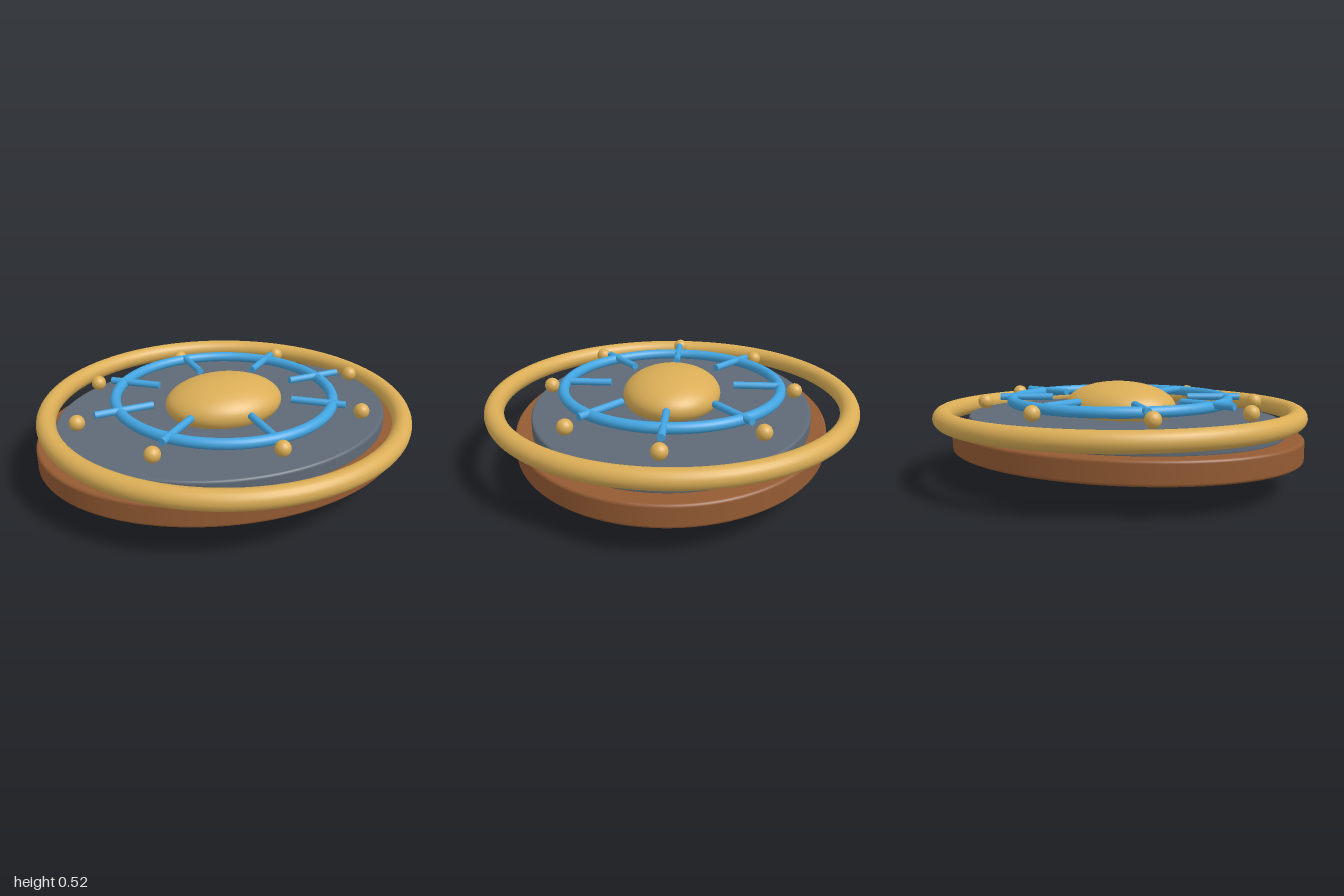
import * as THREE from 'three';
import { RoundedBoxGeometry } from 'three/addons/geometries/RoundedBoxGeometry.js';

const OVAL = 0.82; // depth to width ratio of the oval parts

const paint = (color) => new THREE.MeshStandardMaterial({ color });
const gold = paint(0xdaad56);
const wood = paint(0x945b33);
const slate = paint(0x5f6a76);
const blue = paint(0x42a4e0);
const leather = paint(0x4a2c26);

export function createModel() {
  const model = new THREE.Group();

  const add = (name, geometry, material, x, y, z) => {
    const mesh = new THREE.Mesh(geometry, material);
    mesh.name = name;
    mesh.position.set(x, y, z);
    model.add(mesh);
  };

  // Oval disc with rounded edges; profile runs from bottom centre to top centre
  const disc = (name, radius, bottom, top, round, material) => {
    const inner = radius - round;
    const profile = new THREE.Path();
    profile.moveTo(0, bottom);
    profile.lineTo(inner - 0.01, bottom);
    profile.lineTo(inner, bottom);
    profile.absarc(inner, bottom + round, round, -Math.PI / 2, 0);
    profile.absarc(inner, top - round, round, 0, Math.PI / 2);
    profile.lineTo(inner - 0.01, top);
    profile.lineTo(0, top);
    const geometry = new THREE.LatheGeometry(profile.getPoints(4), 96).scale(1, 1, OVAL);
    add(name, geometry, material, 0, 0, 0);
  };

  // Horizontal round ring
  const ring = (name, radius, tube, y, material) => {
    const geometry = new THREE.TorusGeometry(radius, tube, 20, 96).rotateX(Math.PI / 2);
    add(name, geometry, material, 0, y, 0);
  };

  // Body and rim
  disc('woodBoard', 1, 0.15, 0.265, 0.015, wood);
  disc('facePlate', 0.9, 0.255, 0.337, 0.015, slate);
  ring('outerRim', 0.935, 0.05, 0.351, gold);
  ring('inlayRing', 0.575, 0.028, 0.423, blue);

  // Central boss
  add('boss', new THREE.SphereGeometry(1, 48, 32).scale(0.32, 0.132, 0.26), gold, 0, 0.387, 0);

  // Spokes and studs, spread around the oval
  const studGeometry = new THREE.SphereGeometry(0.04, 20, 14);
  for (let i = 0; i < 8; i++) {
    const angle = (i * Math.PI) / 4;
    const dx = Math.cos(angle);
    const dz = Math.sin(angle) * OVAL;
    const spoke = new THREE.CylinderGeometry(0.019, 0.019, 0.305 * Math.hypot(dx, dz), 14);
    spoke.rotateZ(Math.PI / 2).rotateY(-Math.atan2(dz, dx));
    add('spoke', spoke, blue, dx * 0.552, 0.434, dz * 0.552);
    add('stud', studGeometry, gold, dx * 0.795, 0.41, dz * 0.795);
  }

  // Crossed handle on the underside
  add('handleBar', new RoundedBoxGeometry(1.125, 0.088, 0.14, 3, 0.02), slate, 0, 0.078, 0);
  add('handGrip', new RoundedBoxGeometry(0.14, 0.125, 0.62, 3, 0.03), leather, 0, 0.0625, 0);

  return model;
}
